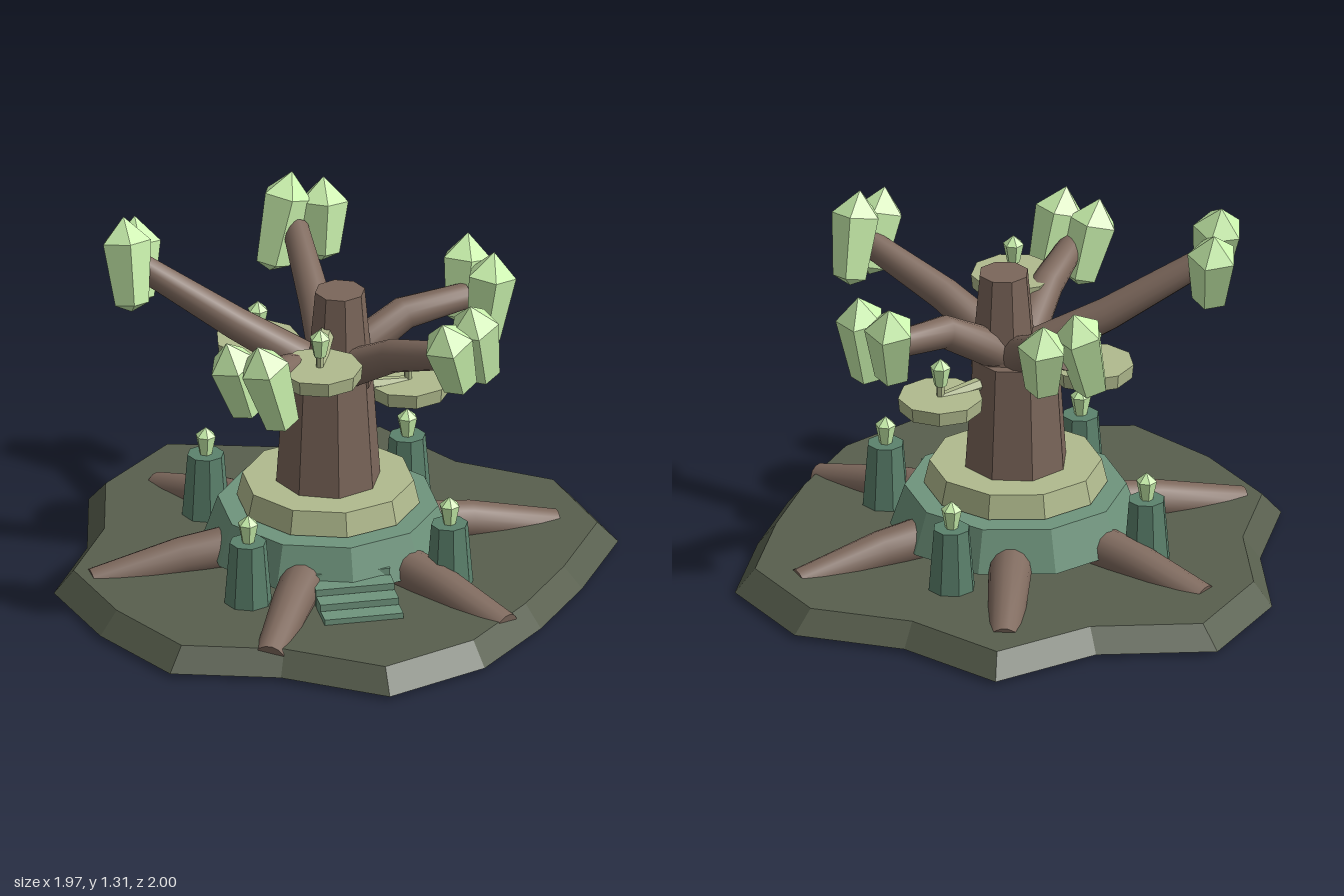
import * as THREE from 'three';

const V = (x, y, z) => new THREE.Vector3(x, y, z);
const UP = V(0, 1, 0);
const CX = -0.03, CZ = -0.03; // axis of the island and trunk

const flat = (color, side = THREE.FrontSide) =>
  new THREE.MeshStandardMaterial({ color, flatShading: true, side });

export function createModel() {
  const model = new THREE.Group();
  const earth = flat(0x585f4e, THREE.DoubleSide), bark = flat(0x7b665a);
  const wood = new THREE.MeshStandardMaterial({ color: 0x7f6a5e });
  const stone = flat(0x6f957d), pillarStone = flat(0x5c826d), moss = flat(0xb1bb8e), glow = flat(0xcbf3ae);

  function add(name, geometry, material, x = 0, y = 0, z = 0, parent = model) {
    const mesh = new THREE.Mesh(geometry, material);
    mesh.name = name;
    mesh.position.set(x, y, z);
    parent.add(mesh);
    return mesh;
  }

  // Upright prism from y0 to y1
  function drum(name, material, rTop, rBottom, y0, y1, sides, x = CX, z = CZ) {
    return add(name, new THREE.CylinderGeometry(rTop, rBottom, y1 - y0, sides), material, x, (y0 + y1) / 2, z);
  }

  // Tapered round limb along a bent path, mitred at each bend, with sharp end caps
  function limb(name, material, path, radii, sides = 14) {
    const pos = [], idx = [];
    const end = path.length - 1;
    function ring(i) {
      const start = pos.length / 3;
      const dir = path[Math.min(i + 1, end)].clone().sub(path[Math.max(i - 1, 0)]).normalize();
      const side = dir.clone().cross(UP).normalize();
      const top = dir.clone().cross(side);
      for (let k = 0; k < sides; k++) {
        const a = (k / sides) * Math.PI * 2;
        const v = path[i].clone().addScaledVector(side, Math.cos(a) * radii[i]).addScaledVector(top, Math.sin(a) * radii[i]);
        pos.push(v.x, v.y, v.z);
      }
      return start;
    }
    path.forEach((p, i) => {
      const c = ring(i), b = c - sides;
      for (let k = 0; i > 0 && k < sides; k++) {
        const n = (k + 1) % sides;
        idx.push(b + k, b + n, c + n, b + k, c + n, c + k);
      }
    });
    const first = ring(0), last = ring(end);
    for (let k = 1; k < sides - 1; k++) {
      idx.push(first, first + k + 1, first + k, last, last + k, last + k + 1);
    }
    const g = new THREE.BufferGeometry();
    g.setAttribute('position', new THREE.Float32BufferAttribute(pos, 3));
    g.setIndex(idx);
    g.computeVertexNormals();
    return add(name, g, material);
  }

  // Pointed gem from a foot point to an apex
  function crystal(foot, apex, parent) {
    const axis = apex.clone().sub(foot), h = axis.length();
    const profile = [[0, 0], [0.062, 0.03], [0.088, h - 0.085], [0, h]].map(([r, y]) => new THREE.Vector2(r, y));
    const m = add('crystal', new THREE.LatheGeometry(profile, 5), glow, foot.x, foot.y, foot.z, parent);
    m.quaternion.setFromUnitVectors(UP, axis.normalize());
  }

  function lantern(x, y, z) {
    const profile = [[0, 0], [0.022, 0], [0.036, 0.068], [0, 0.1]].map(([r, h]) => new THREE.Vector2(r, h));
    add('lantern', new THREE.LatheGeometry(profile, 6), glow, x, y, z);
  }

  // Island: open shell whose rim radius varies around the axis
  const rim = [1.03, 0.95, 0.87, 0.885, 1.015, 1.005, 0.86, 1.03, 0.86, 1.05, 0.98, 0.84, 0.96, 0.945, 0.99, 0.875];
  const shell = new THREE.LatheGeometry(
    [new THREE.Vector2(1, 0.02), new THREE.Vector2(0.928, 0.1), new THREE.Vector2(0, 0.1)], 16);
  const sp = shell.attributes.position;
  for (let i = 0; i < sp.count; i++) {
    const r = rim[Math.floor(i / 3) % 16];
    sp.setX(i, sp.getX(i) * r);
    sp.setZ(i, sp.getZ(i) * r);
  }
  shell.computeVertexNormals();
  add('island', shell, earth, CX, 0, CZ);

  // Terraces and trunk
  drum('lowerTerrace', stone, 0.38, 0.43, 0.13, 0.277, 10);
  drum('upperTerrace', moss, 0.295, 0.315, 0.285, 0.37, 10);
  drum('trunkBase', bark, 0.24, 0.32, 0.05, 0.3, 10);
  drum('trunk', bark, 0.155, 0.187, 0.3, 0.77, 8);
  drum('trunkTop', bark, 0.087, 0.118, 0.74, 1.08, 8, 0.008, -0.015);

  // Roots: tip positions on the ground
  for (const [x, z] of [[-0.86, 0.01], [0.78, -0.12], [0.26, -0.77], [-0.49, -0.68], [-0.39, 0.71], [0.45, 0.64]]) {
    const tip = V(x, 0.06, z), heart = V(CX, 0, CZ);
    const along = (t, y) => heart.clone().lerp(tip, t).setY(y);
    limb('root', wood, [along(0.3, 0.155), along(0.62, 0.125), tip], [0.079, 0.071, 0.056]);
  }

  // Steps climbing to the lower terrace and on beneath it
  for (let i = 0; i < 6; i++) {
    const top = 0.12 + Math.min(i, 3) * 0.022, bottom = 0.03 + i * 0.008;
    add('step', new THREE.BoxGeometry(0.275, top - bottom, 0.068), stone, CX, (top + bottom) / 2, 0.535 - i * 0.073);
  }

  // Lantern pillars
  for (const x of [-0.385, 0.32]) for (const z of [-0.38, 0.325]) {
    drum('pillar', pillarStone, 0.064, 0.087, 0.05, 0.325, 8, x, z);
    lantern(x, 0.325, z);
  }

  // Branches, each with a pair of crystals given as foot and apex
  const branches = [
    { path: [V(-0.02, 0.78, -0.06), V(-0.02, 0.9, -0.28), V(-0.02, 1.03, -0.62)],
      gems: [V(-0.11, 0.88, -0.62), V(-0.02, 1.22, -0.68), V(0.07, 0.9, -0.62), V(0.09, 1.19, -0.68)] },
    { path: [V(-0.08, 0.79, -0.05), V(-0.33, 0.93, -0.14), V(-0.64, 1.13, -0.24)],
      gems: [V(-0.69, 1.0, -0.16), V(-0.7, 1.32, -0.25), V(-0.65, 0.97, -0.27), V(-0.64, 1.27, -0.35)] },
    { path: [V(0.03, 0.8, -0.05), V(0.25, 0.93, -0.1), V(0.48, 0.94, -0.17)],
      gems: [V(0.47, 0.82, -0.2), V(0.51, 1.13, -0.27), V(0.52, 0.78, -0.1), V(0.57, 1.12, -0.12)] },
    { path: [V(0, 0.79, 0.02), V(0.15, 0.92, 0.2), V(0.34, 1.03, 0.47)],
      gems: [V(0.33, 0.9, 0.47), V(0.25, 1.19, 0.54), V(0.42, 0.9, 0.41), V(0.36, 1.22, 0.48)] },
    { path: [V(-0.07, 0.79, 0.01), V(-0.22, 0.9, 0.2), V(-0.37, 0.94, 0.38)],
      gems: [V(-0.38, 0.81, 0.34), V(-0.47, 1.11, 0.37), V(-0.28, 0.79, 0.42), V(-0.38, 1.13, 0.46)] },
  ];
  for (const { path, gems } of branches) {
    limb('branch', wood, path, [0.068, 0.058, 0.046]);
    const cluster = new THREE.Group();
    cluster.name = 'crystalCluster';
    model.add(cluster);
    for (let i = 0; i < 4; i += 2) crystal(gems[i], gems[i + 1], cluster);
  }

  // Round ledges hung on the trunk, each with a brace and a lantern
  for (const [x, y, z] of [[-0.12, 0.91, 0.26], [0.262, 0.66, -0.09], [-0.23, 0.787, -0.25]]) {
    drum('ledge', moss, 0.147, 0.142, y - 0.025, y + 0.025, 9, x, z);
    limb('ledgeBrace', moss, [V(CX, y + 0.045, CZ), V(x, y + 0.015, z)], [0.032, 0.018], 6);
    drum('lanternStem', moss, 0.014, 0.014, y + 0.02, y + 0.08, 6, x, z);
    lantern(x, y + 0.065, z);
  }

  return model;
}
